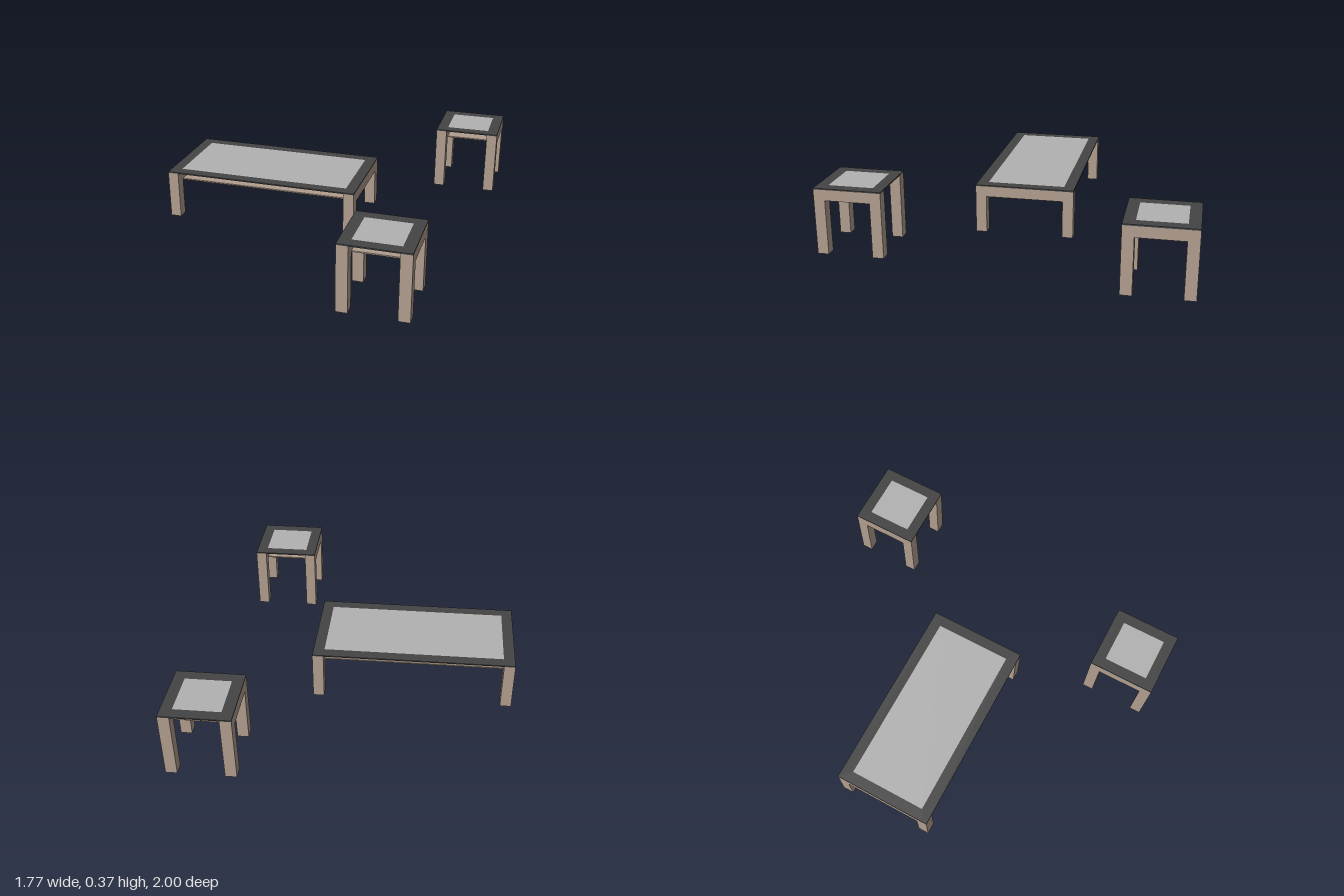
import * as THREE from 'three';

const wood = new THREE.MeshStandardMaterial({ color: 0xb09d8e });
const dark = new THREE.MeshStandardMaterial({ color: 0x444444 });
const pane = new THREE.MeshStandardMaterial({ color: 0xb2b2b2 });

const LEG = 0.061; // width of legs, end rails and top border
const TOP = 0.007; // thickness of the top

function add(group, name, geometry, material, x, y, z) {
  const mesh = new THREE.Mesh(geometry, material);
  mesh.name = name;
  mesh.position.set(x, y, z);
  group.add(mesh);
  return mesh;
}

function rectangle(w, d, Type) {
  const points = [[-w, -d], [w, -d], [w, d], [-w, d]];
  return new Type(points.map(([x, y]) => new THREE.Vector2(x / 2, y / 2)));
}

// One table: two arched ends, a thin shelf between them, a bordered top
function createTable(name, w, d, h) {
  const table = new THREE.Group();
  table.name = name;
  const legTop = h - TOP, railBottom = h - 0.066;
  const innerW = w - 2 * LEG, innerD = d - 2 * LEG;

  // Legs joined by a rail, cut as one arch and extruded across the leg width
  const a = d / 2, b = innerD / 2;
  const arch = new THREE.Shape([
    [-a, 0], [-b, 0], [-b, railBottom], [b, railBottom],
    [b, 0], [a, 0], [a, legTop], [-a, legTop],
  ].map(([x, y]) => new THREE.Vector2(x, y)));
  const endGeometry = new THREE.ExtrudeGeometry(arch, { depth: LEG, bevelEnabled: false });
  endGeometry.translate(0, 0, -LEG / 2).rotateY(Math.PI / 2);
  for (const side of [-1, 1]) {
    add(table, side < 0 ? 'rightLegFrame' : 'leftLegFrame', endGeometry, wood, side * (w - LEG) / 2, 0, 0);
  }

  // Shelf under the top, open at front and back
  add(table, 'shelf', new THREE.BoxGeometry(innerW, 0.007, innerD), wood, 0, railBottom + 0.0035, 0);

  // Dark border with an inset pane
  const border = rectangle(w, d, THREE.Shape);
  border.holes.push(rectangle(innerW, innerD, THREE.Path));
  const borderGeometry = new THREE.ExtrudeGeometry(border, { depth: TOP, bevelEnabled: false });
  borderGeometry.rotateX(-Math.PI / 2);
  add(table, 'topBorder', borderGeometry, dark, 0, legTop, 0);
  add(table, 'topPane', new THREE.BoxGeometry(innerW, TOP, innerD), pane, 0, h - TOP / 2, 0);
  return table;
}

export function createModel() {
  const model = new THREE.Group();
  model.name = 'tableSet';

  const coffeeTable = createTable('coffeeTable', 1.107, 0.553, 0.277);
  coffeeTable.position.set(-0.332, 0, -0.026);

  const backSideTable = createTable('backSideTable', 0.369, 0.369, 0.369);
  backSideTable.position.set(0.7, 0, -0.8155);

  const frontSideTable = createTable('frontSideTable', 0.369, 0.369, 0.369);
  frontSideTable.position.set(0.517, 0, 0.8155);

  model.add(coffeeTable, backSideTable, frontSideTable);
  return model;
}
